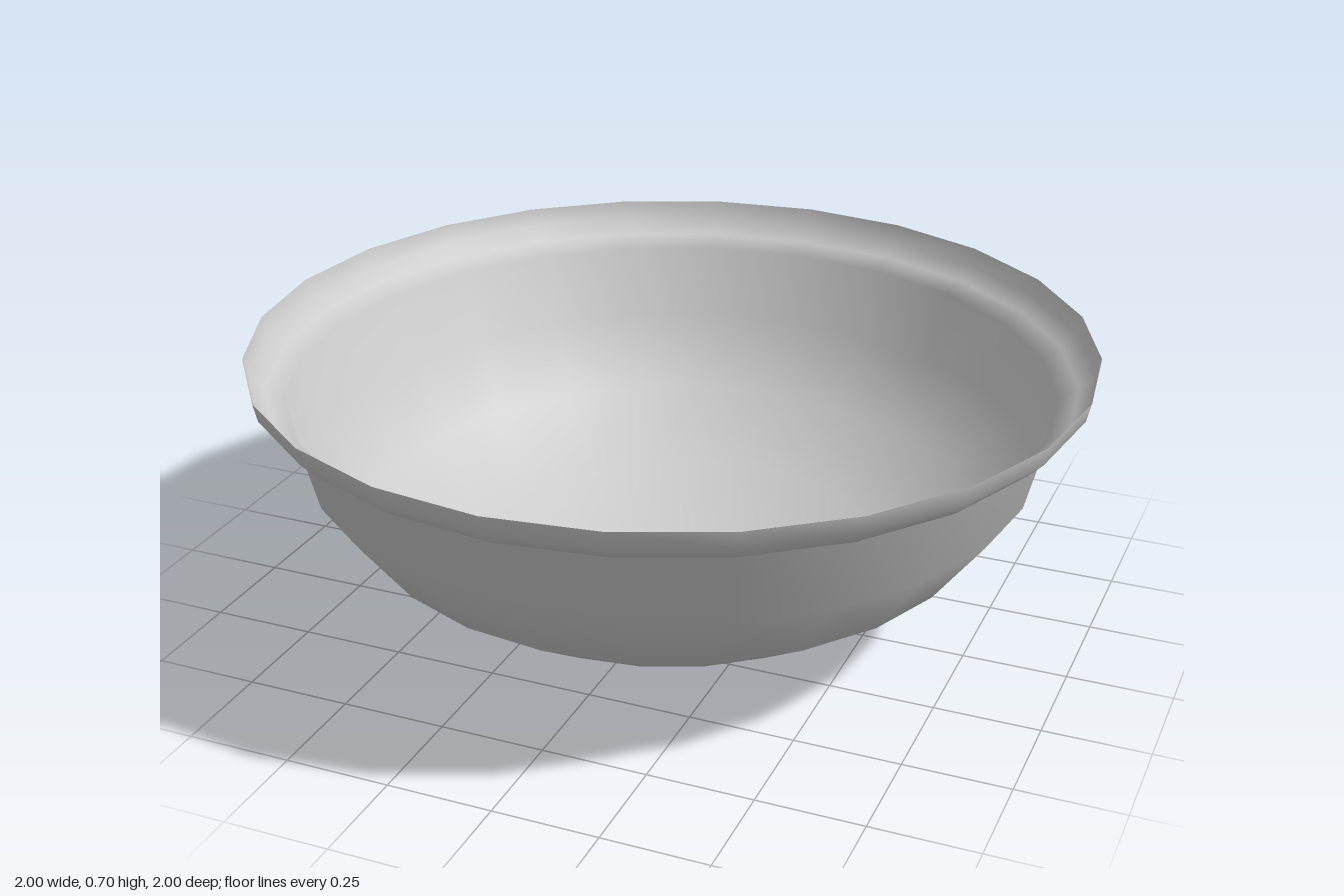
import * as THREE from 'three';

export function createModel() {
  const group = new THREE.Group();
  group.name = 'bowl';

  // Thin shell: rounded base, steep wall, flared lip
  const profile = [
    [0, 0], [0.28, 0.03], [0.54, 0.12], [0.74, 0.25], [0.865, 0.415],
    [0.91, 0.595], [0.955, 0.62], [0.99, 0.655], [1, 0.7],
  ].map(([r, y]) => new THREE.Vector2(r, y));

  const material = new THREE.MeshStandardMaterial({ color: 0xcccccc, side: THREE.DoubleSide });
  const shell = new THREE.Mesh(new THREE.LatheGeometry(profile, 24), material);
  shell.name = 'bowlShell';
  group.add(shell);
  return group;
}
